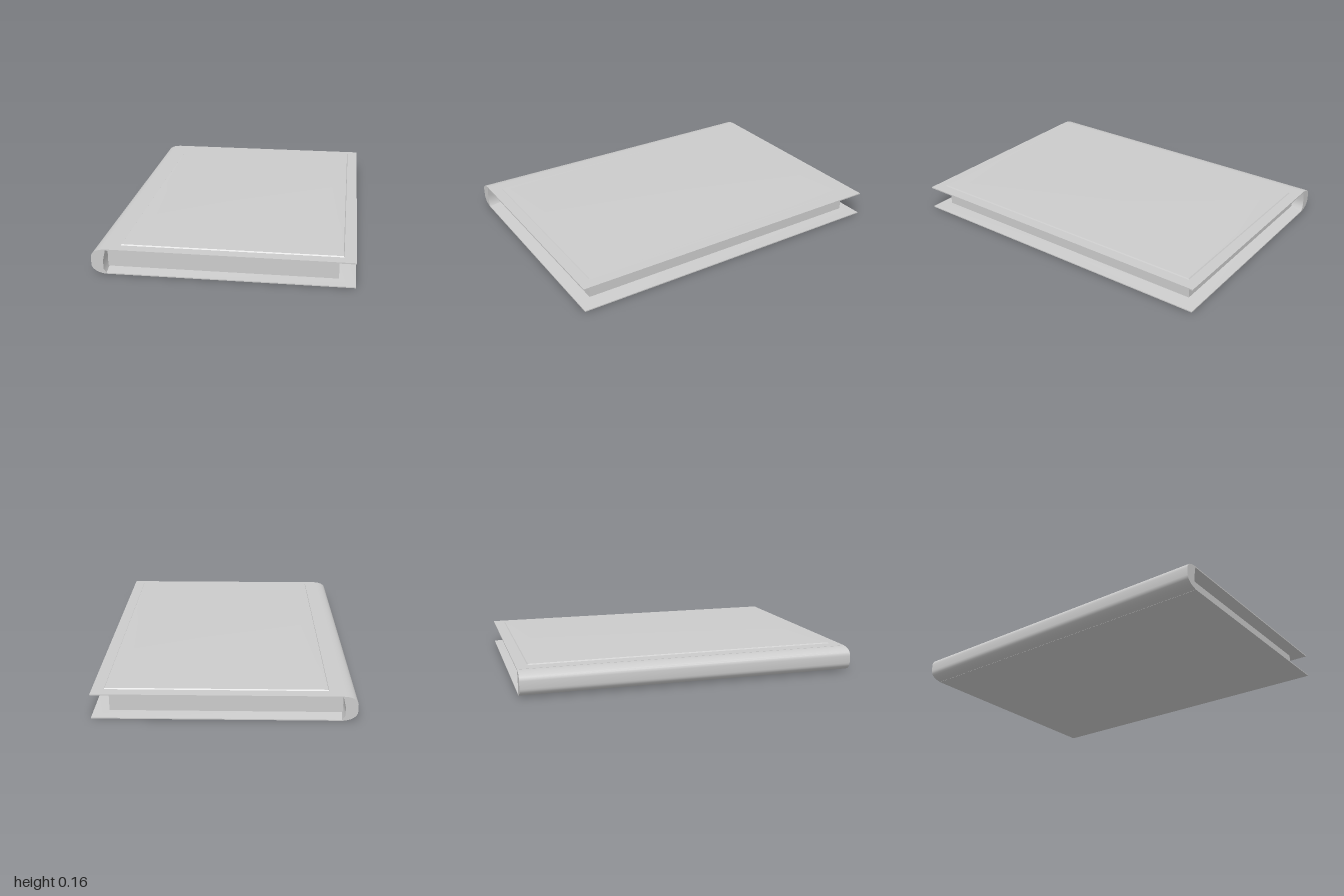
import * as THREE from 'three';
import { toCreasedNormals } from 'three/addons/utils/BufferGeometryUtils.js';

const material = new THREE.MeshStandardMaterial({ color: 0xcccccc });

function addMesh(group, name, geometry) {
  const mesh = new THREE.Mesh(toCreasedNormals(geometry, 0.6), material);
  mesh.name = name;
  group.add(mesh);
}

// Stack of rectangles [y, xMin, xMax, zHalf], listed from bottom to top
function loftRectangles(rings) {
  const positions = [], index = [];
  for (const [y, x0, x1, z] of rings) positions.push(x0, y, z, x1, y, z, x1, y, -z, x0, y, -z);
  for (let r = 0; r < rings.length - 1; r++) {
    for (let i = 0; i < 4; i++) {
      const a = r * 4 + i, b = r * 4 + (i + 1) % 4;
      index.push(a, b, b + 4, a, b + 4, a + 4);
    }
  }
  const t = (rings.length - 1) * 4;
  index.push(t, t + 1, t + 2, t, t + 2, t + 3, 0, 2, 1, 0, 3, 2);
  const geometry = new THREE.BufferGeometry();
  geometry.setAttribute('position', new THREE.Float32BufferAttribute(positions, 3));
  geometry.setIndex(index);
  return geometry;
}

export function createModel() {
  const book = new THREE.Group();
  book.name = 'book';

  // Rounded spine, running the full height of the book
  const profile = new THREE.Shape();
  profile.moveTo(-0.64, 0);
  profile.lineTo(-0.66, 0.03);
  profile.lineTo(-0.66, 0.08);
  profile.lineTo(-0.645, 0.146);
  profile.bezierCurveTo(-0.69, 0.146, -0.728, 0.13, -0.728, 0.098);
  profile.lineTo(-0.728, 0.055);
  profile.bezierCurveTo(-0.728, 0.025, -0.69, 0.002, -0.64, 0);
  const spine = new THREE.ExtrudeGeometry(profile, { depth: 2, bevelEnabled: false, curveSegments: 8 });
  spine.translate(0, 0, -1);
  addMesh(book, 'spine', spine);

  // Thin boards
  addMesh(book, 'backCover', loftRectangles([[0, -0.65, 0.728, 1], [0.006, -0.65, 0.728, 1]]));
  addMesh(book, 'frontCover', loftRectangles([[0.14, -0.65, 0.728, 1], [0.147, -0.65, 0.728, 1]]));

  // Recessed pages, flaring into the inside faces of the boards
  addMesh(book, 'pages', loftRectangles([
    [0.006, -0.655, 0.727, 0.999],
    [0.015, -0.655, 0.637, 0.925],
    [0.132, -0.655, 0.637, 0.925],
    [0.14, -0.65, 0.727, 0.999],
  ]));

  // Raised panel with a gently sloping border on the front cover
  addMesh(book, 'coverPanel', loftRectangles([
    [0.146, -0.575, 0.662, 0.935],
    [0.153, -0.57, 0.657, 0.93],
    [0.153, -0.55, 0.637, 0.91],
    [0.157, -0.48, 0.567, 0.83],
  ]));

  return book;
}
